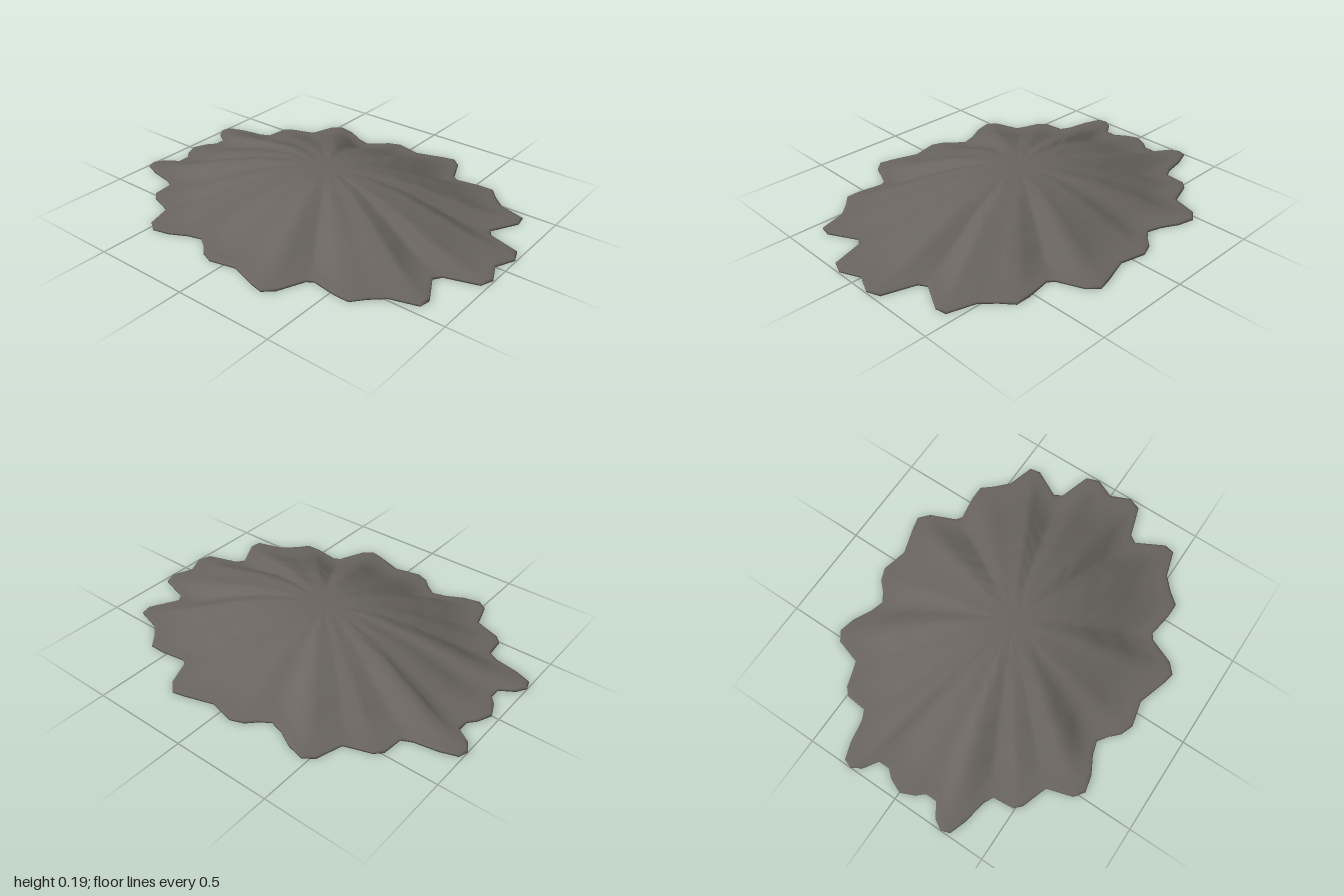
import * as THREE from 'three';
import { mergeVertices } from 'three/addons/utils/BufferGeometryUtils.js';

// Half of the scalloped rim, from +x round the back to -x, as [x, -z]
const HALF_RIM = [
  [0.95, 0], [0.995, 0.1], [0.97, 0.165], [0.81, 0.215], [0.785, 0.255], [0.86, 0.395],
  [0.85, 0.45], [0.715, 0.49], [0.65, 0.55], [0.6, 0.61], [0.525, 0.61], [0.4, 0.59],
  [0.37, 0.61], [0.315, 0.74], [0.265, 0.785], [0.2, 0.77], [0.06, 0.725], [-0.07, 0.755],
  [-0.135, 0.73], [-0.18, 0.685], [-0.23, 0.65], [-0.3, 0.67], [-0.385, 0.715], [-0.47, 0.735],
  [-0.52, 0.7], [-0.56, 0.57], [-0.6, 0.555], [-0.69, 0.525], [-0.725, 0.49], [-0.735, 0.385],
  [-0.785, 0.36], [-0.9, 0.34], [-0.985, 0.31], [-1, 0.265], [-0.97, 0.215], [-0.9, 0.17],
  [-0.9, 0.11], [-0.935, 0.07], [-0.965, 0],
];

// Height of the mound by fraction of the rim radius
const DOME = [
  [1, 0.008], [0.97, 0.013], [0.9, 0.019], [0.8, 0.039], [0.7, 0.07], [0.6, 0.1], [0.5, 0.13],
  [0.4, 0.153], [0.3, 0.172], [0.2, 0.184], [0.1, 0.189], [0, 0.19],
];

// Seeded noise between -1 and 1
function makeNoise(seed) {
  return () => {
    seed = (seed * 16807) % 2147483647;
    return (seed / 2147483647) * 2 - 1;
  };
}

export function createModel() {
  const group = new THREE.Group();
  group.name = 'pleatedMound';

  const stone = new THREE.MeshStandardMaterial({ color: 0x6a6560 });
  stone.name = 'warm grey stone';

  // Mirror the half rim across z = 0
  const rim = HALF_RIM.map(([x, z]) => [x, -z]);
  for (let i = HALF_RIM.length - 2; i > 0; i--) rim.push(HALF_RIM[i]);

  // Flat base, low skirt, then the curved dome
  const dome = new THREE.SplineCurve(DOME.map(([t, y]) => new THREE.Vector2(t, y)));
  const profile = [new THREE.Vector2(0, 0), new THREE.Vector2(1, 0), ...dome.getPoints(22)];

  // Turn the profile, then stretch each meridian out to the rim
  const geometry = new THREE.LatheGeometry(profile, rim.length);
  const position = geometry.attributes.position;
  const noise = makeNoise(7);
  rim.push(rim[0]);
  rim.forEach(([x, z], i) => {
    profile.forEach(({ x: t, y }, j) => {
      // Weathered lumps on the slope, fading out at the peak, rim and seam
      const lump = i % (rim.length - 1) === 0 ? 0 : 0.012 * noise() * t * (1 - t) * (y > 0 ? 1 : 0);
      position.setXYZ(i * profile.length + j, x * t, y + lump, z * t);
    });
  });

  // Weld the seam, peak and base centre for smooth shading
  geometry.deleteAttribute('uv');
  geometry.deleteAttribute('normal');
  const solid = mergeVertices(geometry);
  solid.computeVertexNormals();

  const mound = new THREE.Mesh(solid, stone);
  mound.name = 'mound';
  group.add(mound);
  return group;
}
